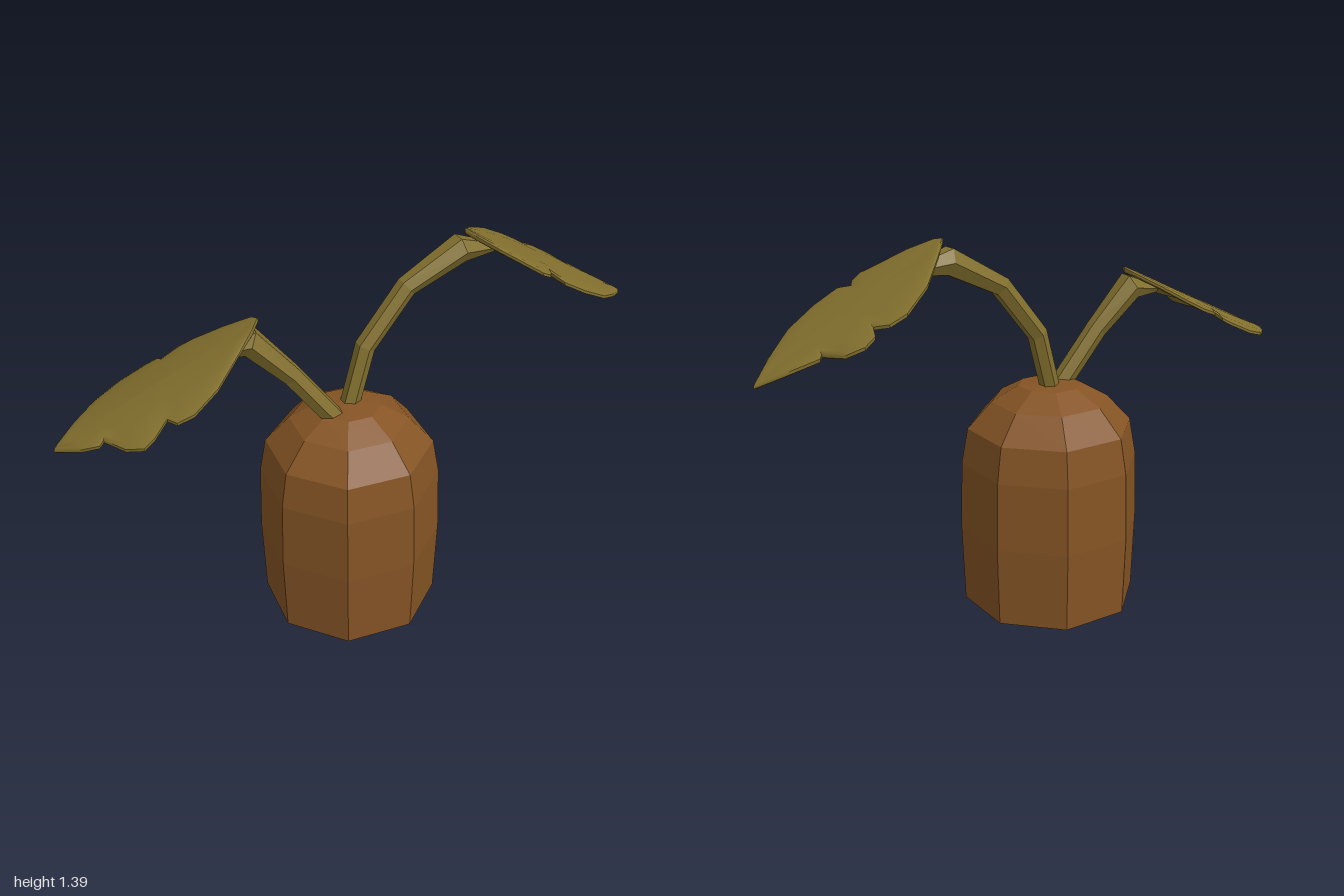
import * as THREE from 'three';
import { toCreasedNormals } from 'three/addons/utils/BufferGeometryUtils.js';

// Skin a list of equal-length closed rings (arrays of Vector3)
function loft(rings) {
  const n = rings[0].length, index = [];
  for (let i = 0; i < rings.length - 1; i++) {
    for (let j = 0; j < n; j++) {
      const a = i * n + j, b = i * n + (j + 1) % n;
      index.push(a, b, b + n, a, b + n, a + n);
    }
  }
  const g = new THREE.BufferGeometry().setFromPoints(rings.flat());
  g.setIndex(index);
  return g;
}

// Faceted stem: path points are [x, y, z, radius]
function stemGeometry(path) {
  const pts = path.map(p => new THREE.Vector3(p[0], p[1], p[2]));
  const last = pts.length - 1;
  const across = pts[last].clone().sub(pts[0]).setY(0).normalize().cross(new THREE.Vector3(0, 1, 0));
  const rings = pts.map((p, i) => {
    const t = pts[Math.min(i + 1, last)].clone().sub(pts[Math.max(i - 1, 0)]).normalize();
    const up = t.clone().cross(across).normalize();
    return Array.from({ length: 6 }, (_, k) => {
      const a = k * Math.PI / 3;
      return p.clone().addScaledVector(across, Math.cos(a) * path[i][3])
        .addScaledVector(up, Math.sin(a) * path[i][3]);
    });
  });
  rings.push(rings[last].map(() => pts[last].clone()));
  return loft(rings);
}

// Notched leaf: plan outline [x, z], sloping plane, and sides drooping from the midrib
function leafGeometry({ outline, base, tip, slopeX, slopeZ, droop }) {
  const b = new THREE.Vector2(base[0], base[2]);
  const rib = new THREE.Vector2(...tip).sub(b);
  const length = rib.length();
  rib.normalize();
  const ring = (s, offset) => outline.map(([x, z]) => {
    const p = new THREE.Vector2(x, z);
    const along = THREE.MathUtils.clamp(p.clone().sub(b).dot(rib), 0.04 * length, 0.93 * length);
    const q = b.clone().addScaledVector(rib, along).lerp(p, s);
    const side = q.clone().sub(b).cross(rib);
    const y = base[1] + slopeX * (q.x - b.x) + slopeZ * (q.y - b.y) - droop * side * side;
    return new THREE.Vector3(q.x, y + offset, q.y);
  });
  const g = loft([ring(0, -0.02), ring(0.5, -0.02), ring(0.88, -0.018), ring(1, -0.013),
    ring(1, -0.003), ring(0.88, 0.003), ring(0.5, 0.005), ring(0, 0.003)]);
  return toCreasedNormals(g, 0.7);
}

export function createModel() {
  const model = new THREE.Group();
  const brown = new THREE.MeshStandardMaterial({ color: 0x855424, flatShading: true });
  brown.name = 'bark brown';
  const olive = new THREE.MeshStandardMaterial({ color: 0x83702e, side: THREE.DoubleSide });
  olive.name = 'olive leaf';
  const oliveFlat = olive.clone();
  oliveFlat.flatShading = true;
  oliveFlat.name = 'olive stem';

  const add = (name, geometry, material) => {
    const mesh = new THREE.Mesh(geometry, material);
    mesh.name = name;
    model.add(mesh);
    return mesh;
  };

  // Eight-sided trunk with a domed top
  const profile = [[0, 0], [0.317, 0], [0.327, 0.29], [0.32, 0.537], [0.297, 0.665],
    [0.21, 0.76], [0.113, 0.815], [0, 0.825]].map(p => new THREE.Vector2(...p));
  add('trunk', new THREE.LatheGeometry(profile, 8, -0.107), brown).position.set(-0.035, 0, 0.035);

  // Stems
  add('leftStem', stemGeometry([[-0.035, 0.79, 0.02, 0.035], [0.025, 1.015, -0.012, 0.036],
    [0.17, 1.205, -0.07, 0.037], [0.36, 1.312, -0.13, 0.05], [0.49, 1.293, -0.17, 0.015]]), oliveFlat);
  add('rightStem', stemGeometry([[-0.085, 0.79, 0.08, 0.038], [-0.23, 0.983, 0.1, 0.038],
    [-0.365, 1.13, 0.12, 0.052], [-0.48, 1.105, 0.15, 0.015]]), oliveFlat);

  // Leaves, outlines anticlockwise from above
  add('leftLeaf', leafGeometry({
    base: [0.37, 1.384, -0.123], tip: [0.995, -0.337], slopeX: -0.52, slopeZ: 0.17, droop: 0.15,
    outline: [[1, -0.335], [0.9, -0.375], [0.807, -0.406], [0.8, -0.385], [0.74, -0.465],
      [0.685, -0.48], [0.65, -0.455], [0.647, -0.4], [0.604, -0.438], [0.55, -0.433],
      [0.47, -0.348], [0.406, -0.214], [0.37, -0.123], [0.396, -0.09], [0.48, -0.043],
      [0.62, -0.003], [0.652, -0.027], [0.663, -0.064], [0.7, -0.015], [0.78, -0.037],
      [0.87, -0.1], [0.946, -0.22], [0.995, -0.325]],
  }), olive);
  add('rightLeaf', leafGeometry({
    base: [-0.335, 1.2, 0.12], tip: [-1, 0.305], slopeX: 0.475, slopeZ: -0.05, droop: 0.6,
    outline: [[-1, 0.305], [-0.904, 0.37], [-0.84, 0.39], [-0.83, 0.37], [-0.754, 0.45],
      [-0.695, 0.475], [-0.663, 0.45], [-0.626, 0.396], [-0.594, 0.428], [-0.54, 0.422],
      [-0.465, 0.358], [-0.396, 0.24], [-0.353, 0.166], [-0.332, 0.1], [-0.353, 0.07],
      [-0.45, 0.03], [-0.556, -0.003], [-0.604, -0.003], [-0.663, 0.03], [-0.68, 0],
      [-0.717, 0], [-0.807, 0.027], [-0.89, 0.096], [-0.95, 0.198], [-0.995, 0.29]],
  }), olive);

  return model;
}
